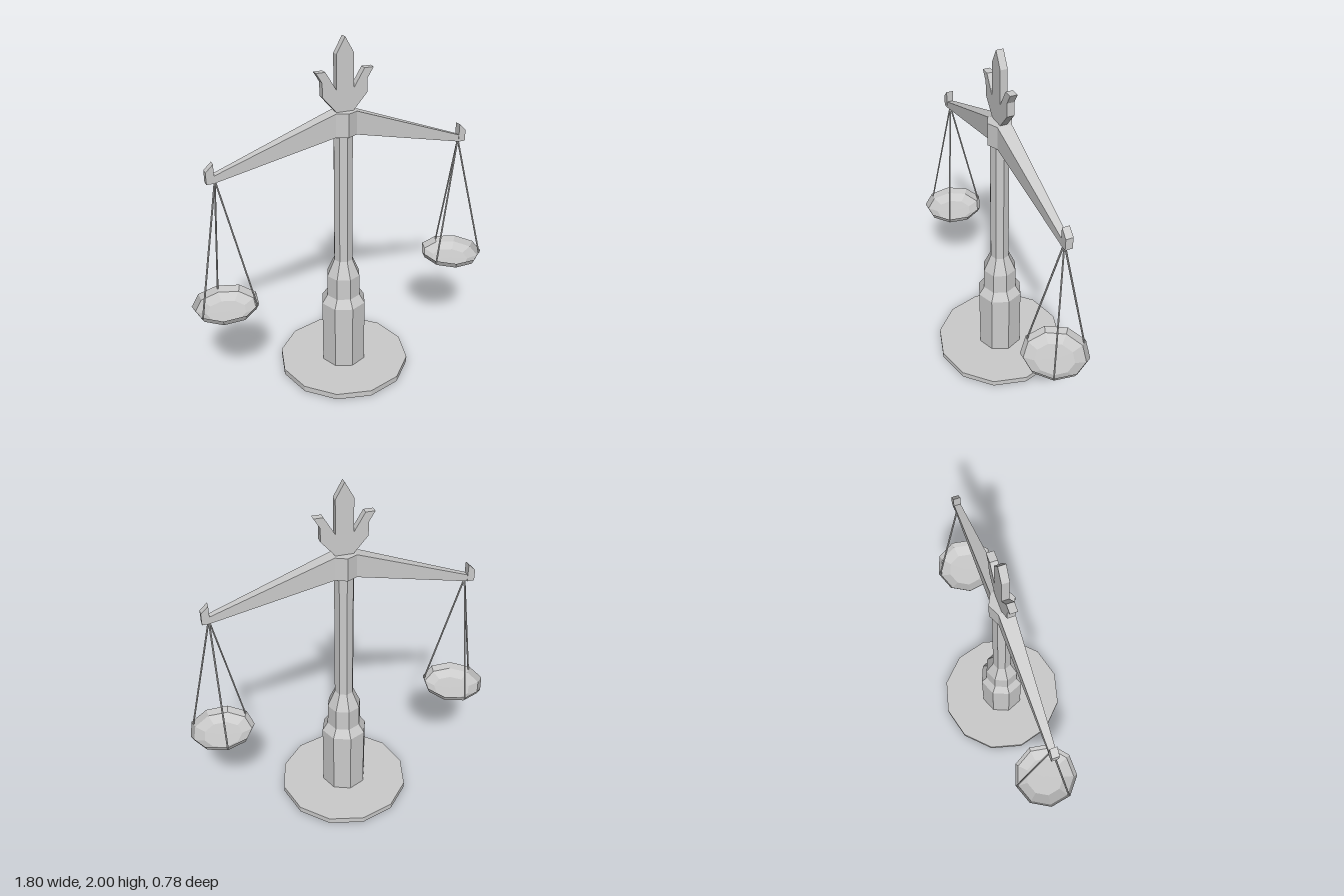
import * as THREE from 'three';

const material = new THREE.MeshStandardMaterial({ color: 0xcccccc, flatShading: true });
const dishMaterial = new THREE.MeshStandardMaterial({ color: 0xcccccc, flatShading: true, side: THREE.DoubleSide });

function addMesh(parent, name, geometry, mat = material) {
  const mesh = new THREE.Mesh(geometry, mat);
  mesh.name = name;
  parent.add(mesh);
  return mesh;
}

function lathe(profile, sides, phase = 0) {
  return new THREE.LatheGeometry(profile.map(([r, y]) => new THREE.Vector2(r, y)), sides, phase);
}

// Thin rod between two points
function rod(a, b, radius) {
  return new THREE.TubeGeometry(new THREE.LineCurve3(a, b), 1, radius, 6);
}

// Beam lofted along x from rectangular sections [x, bottom, top, half depth]
function beamGeometry(sections) {
  const points = [], index = [];
  for (const [x, bottom, top, d] of sections) {
    points.push(x, bottom, d, x, top, d, x, top, -d, x, bottom, -d);
  }
  for (let s = 0; s < sections.length - 1; s++) {
    for (let i = 0; i < 4; i++) {
      const a = s * 4 + i, b = s * 4 + (i + 1) % 4;
      index.push(a, a + 4, b, b, a + 4, b + 4);
    }
  }
  const e = (sections.length - 1) * 4;
  index.push(0, 1, 2, 0, 2, 3, e, e + 2, e + 1, e, e + 3, e + 2);
  const geometry = new THREE.BufferGeometry();
  geometry.setAttribute('position', new THREE.Float32BufferAttribute(points, 3));
  geometry.setIndex(index);
  const flat = geometry.toNonIndexed();
  flat.computeVertexNormals();
  return flat;
}

export function createModel() {
  const model = new THREE.Group();
  model.name = 'balanceScale';

  // Base disc and stepped octagonal column
  const base = addMesh(model, 'base', new THREE.CylinderGeometry(0.39, 0.39, 0.035, 12));
  base.position.set(-0.005, 0.0175, 0);
  const column = addMesh(model, 'column', lathe([
    [0.135, 0.03], [0.135, 0.44], [0.102, 0.49], [0.1, 0.62], [0.056, 0.72], [0.055, 1.5],
  ], 8));
  column.position.x = -0.007;

  // Beam: upturned ends, tapering arms and a wider hub
  const half = [
    [0.762, 1.33, 1.395, 0.02],
    [0.72, 1.33, 1.435, 0.02],
    [0.72, 1.33, 1.37, 0.018],
    [0.06, 1.48, 1.61, 0.04],
  ];
  const beam = addMesh(model, 'beam', beamGeometry([
    ...half.map(([x, ...rest]) => [-x, ...rest]),
    [0, 1.48, 1.61, 0.069],
    ...half.slice().reverse(),
  ]));
  beam.position.x = -0.005;

  // Three-pointed finial
  const side = [[0.049, 1.6], [0.049, 1.61], [0.128, 1.7], [0.128, 1.775], [0.162, 1.83],
    [0.11, 1.83], [0.049, 1.73], [0.049, 1.915]];
  const outline = [...side, [0, 2], ...side.map(([x, y]) => [-x, y]).reverse()];
  const shape = new THREE.Shape(outline.map(([x, y]) => new THREE.Vector2(x, y)));
  const finial = addMesh(model, 'finial', new THREE.ExtrudeGeometry(shape, { depth: 0.04, bevelEnabled: false }));
  finial.position.set(-0.004, 0, -0.02);

  // Hanging pans, each on three cords
  for (const sign of [-1, 1]) {
    const pan = new THREE.Group();
    pan.name = sign > 0 ? 'leftPan' : 'rightPan';
    pan.position.set(sign * 0.719, 0, 0.013);
    model.add(pan);
    addMesh(pan, 'dish', lathe([[0, 0.552], [0.11, 0.553], [0.168, 0.58], [0.185, 0.615]], 9, Math.PI), dishMaterial);
    for (let i = 0; i < 3; i++) {
      const angle = Math.PI + i * Math.PI * 2 / 3;
      const foot = new THREE.Vector3(Math.sin(angle) * 0.176, 0.6, Math.cos(angle) * 0.176);
      addMesh(pan, 'cord', rod(new THREE.Vector3(0, 1.34, -0.01), foot, 0.005));
    }
  }
  return model;
}
